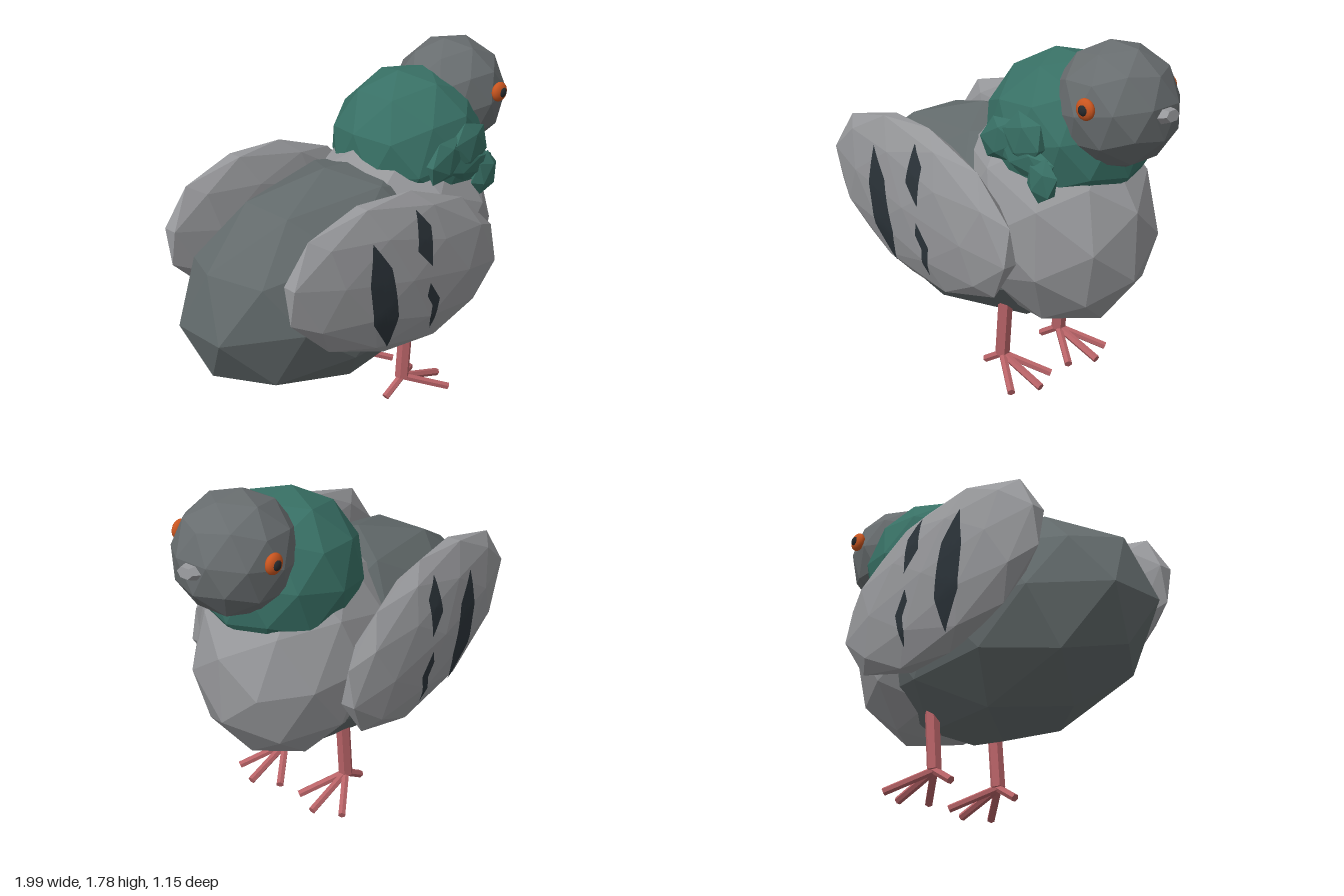
import * as THREE from 'three';

const mat = (name, color, extra = {}) => {
  const m = new THREE.MeshStandardMaterial({ color, ...extra });
  m.name = name;
  return m;
};

// Faceted ball with a corner at each pole of y, stretched to the given radii
function ball(rx, ry, rz, { detail = 1, poleAlongZ = false } = {}) {
  const g = new THREE.IcosahedronGeometry(1, detail);
  g.rotateZ(Math.atan2(1, (1 + Math.sqrt(5)) / 2));
  g.rotateY(Math.PI);
  if (poleAlongZ) g.rotateX(Math.PI / 2);
  g.scale(rx, ry, rz);
  g.computeVertexNormals(); // unshared corners keep the facets flat
  return g;
}

// Thin patch that follows the facets of a surface, seen along z from the given side
function patch(outline, surface, side, material) {
  const pts = [];
  outline.forEach(([x, y], i) => {
    const [nx, ny] = outline[(i + 1) % outline.length];
    for (let k = 0; k < 5; k++) pts.push([x + (nx - x) * k / 5, y + (ny - y) * k / 5]);
  });
  const n = pts.length, rings = 8;
  const cx = pts.reduce((a, p) => a + p[0], 0) / n;
  const cy = pts.reduce((a, p) => a + p[1], 0) / n;
  const ray = new THREE.Raycaster();
  const pos = [], idx = [];
  for (let r = 0; r <= rings; r++) {
    for (const [px, py] of pts) {
      const x = cx + (px - cx) * r / rings, y = cy + (py - cy) * r / rings;
      ray.set(new THREE.Vector3(x, y, side * 2), new THREE.Vector3(0, 0, -side));
      const hit = ray.intersectObject(surface)[0];
      pos.push(x, y, (hit ? hit.point.z : side * 0.5) + side * 0.009);
    }
  }
  for (let r = 0; r < rings; r++) {
    for (let i = 0; i < n; i++) {
      const a = r * n + i, b = r * n + (i + 1) % n;
      if (side > 0) idx.push(a, b, b + n, a, b + n, a + n);
      else idx.push(a, b + n, b, a, a + n, b + n);
    }
  }
  const g = new THREE.BufferGeometry();
  g.setAttribute('position', new THREE.Float32BufferAttribute(pos, 3));
  g.setIndex(idx);
  g.computeVertexNormals();
  return new THREE.Mesh(g, material);
}

// Six-sided rod between two points
function rod(a, b, r, material) {
  const from = new THREE.Vector3(...a), to = new THREE.Vector3(...b);
  const dir = to.clone().sub(from);
  const g = new THREE.CylinderGeometry(r, r, dir.length(), 6).toNonIndexed();
  g.computeVertexNormals();
  const m = new THREE.Mesh(g, material);
  m.position.copy(from).add(to).multiplyScalar(0.5);
  m.quaternion.setFromUnitVectors(new THREE.Vector3(0, 1, 0), dir.normalize());
  return m;
}

export function createModel() {
  const slate = mat('slate body', 0x626a6b);
  const headGrey = mat('head grey', 0x686d6f);
  const pale = mat('pale grey', 0x97989b);
  const green = mat('neck green', 0x387065);
  const dark = mat('stripe charcoal', 0x2b3339, { side: THREE.DoubleSide });
  const orange = mat('eye orange', 0xc9551f);
  const black = mat('pupil black', 0x26292c);
  const pink = mat('leg pink', 0xb86367);

  const model = new THREE.Group();
  model.name = 'bird';
  const add = (name, geo, material, [x, y, z], tilt = 0, yaw = 0) => {
    const m = new THREE.Mesh(geo, material);
    m.name = name;
    m.position.set(x, y, z);
    m.rotation.set(0, yaw, tilt);
    model.add(m);
    return m;
  };

  // Trunk, neck and head
  add('body', ball(0.883, 0.543, 0.47), slate, [-0.16, 0.777, 0], 0.08);
  add('chest', ball(0.525, 0.57, 0.44, { poleAlongZ: true }), pale, [0.3, 0.88, 0], 0.58);
  add('neck', ball(0.41, 0.4, 0.375), green, [0.37, 1.3, 0], 0.2);
  add('head', ball(0.3, 0.295, 0.285), headGrey, [0.672, 1.495, 0], 0.17);

  // Short blunt beak
  const beak = new THREE.CylinderGeometry(0.045, 0.092, 0.12, 6).toNonIndexed();
  beak.rotateZ(-Math.PI / 2).scale(1, 0.62, 1);
  beak.computeVertexNormals();
  add('beak', beak, pale, [0.933, 1.503, 0], 0.15);

  // Ruffled feathers on one side of the neck
  const feathers = [
    [0.28, 1.32, 0.345, 0.15, 0.11, 0.5], [0.43, 1.355, 0.352, 0.14, 0.13, 0.25],
    [0.55, 1.185, 0.355, 0.095, 0.115, -0.2], [0.43, 1.265, 0.345, 0.2, 0.09, -0.2],
  ];
  for (const [x, y, z, rx, ry, tilt] of feathers) {
    add('neckFeather', ball(rx, ry, 0.042, { detail: 0 }), green, [x, y, z], tilt);
  }

  const stripes = [
    [[-0.41, 1.165], [-0.44, 0.97], [-0.41, 0.755], [-0.29, 0.585], [-0.26, 0.755], [-0.31, 1.02]],
    [[-0.12, 1.24], [-0.145, 1.05], [-0.055, 0.95], [-0.045, 1.145]],
    [[-0.065, 0.865], [-0.08, 0.8], [-0.035, 0.73], [-0.045, 0.66], [-0.02, 0.59], [0.01, 0.755]],
  ];

  for (const s of [1, -1]) {
    const side = s > 0 ? 'left' : 'right';

    // Wing with its dark bars
    const wing = add(side + 'Wing', ball(0.692, 0.403, 0.117), pale, [-0.17, 0.912, 0.455 * s], -0.2, -0.04 * s);
    wing.updateMatrixWorld();
    for (const outline of stripes) {
      const bar = patch(outline, wing, s, dark);
      bar.name = side + 'WingBar';
      model.add(bar);
    }

    // Eye
    const iris = new THREE.SphereGeometry(1, 16, 12).scale(0.05, 0.05, 0.028);
    add(side + 'Eye', iris, orange, [0.733, 1.545, 0.28 * s]);
    const pupil = new THREE.SphereGeometry(1, 12, 8).scale(0.026, 0.026, 0.016);
    add(side + 'Pupil', pupil, black, [0.736, 1.545, 0.299 * s]);

    // Leg with three front toes and one back toe
    const leg = new THREE.Group();
    leg.name = side + 'Leg';
    leg.position.z = 0.205 * s;
    const ankle = [0.14, 0.11, 0];
    leg.add(rod(ankle, [0.165, 0.42, 0], 0.037, pink));
    const toes = [[0.41, 0.022, 0], [0.345, 0.022, 0.14], [0.345, 0.022, -0.14], [0.02, 0.033, 0]];
    for (const tip of toes) leg.add(rod(ankle, tip, 0.02, pink));
    leg.children.forEach((m, i) => { m.name = i ? 'toe' : 'shank'; });
    model.add(leg);
  }
  return model;
}
